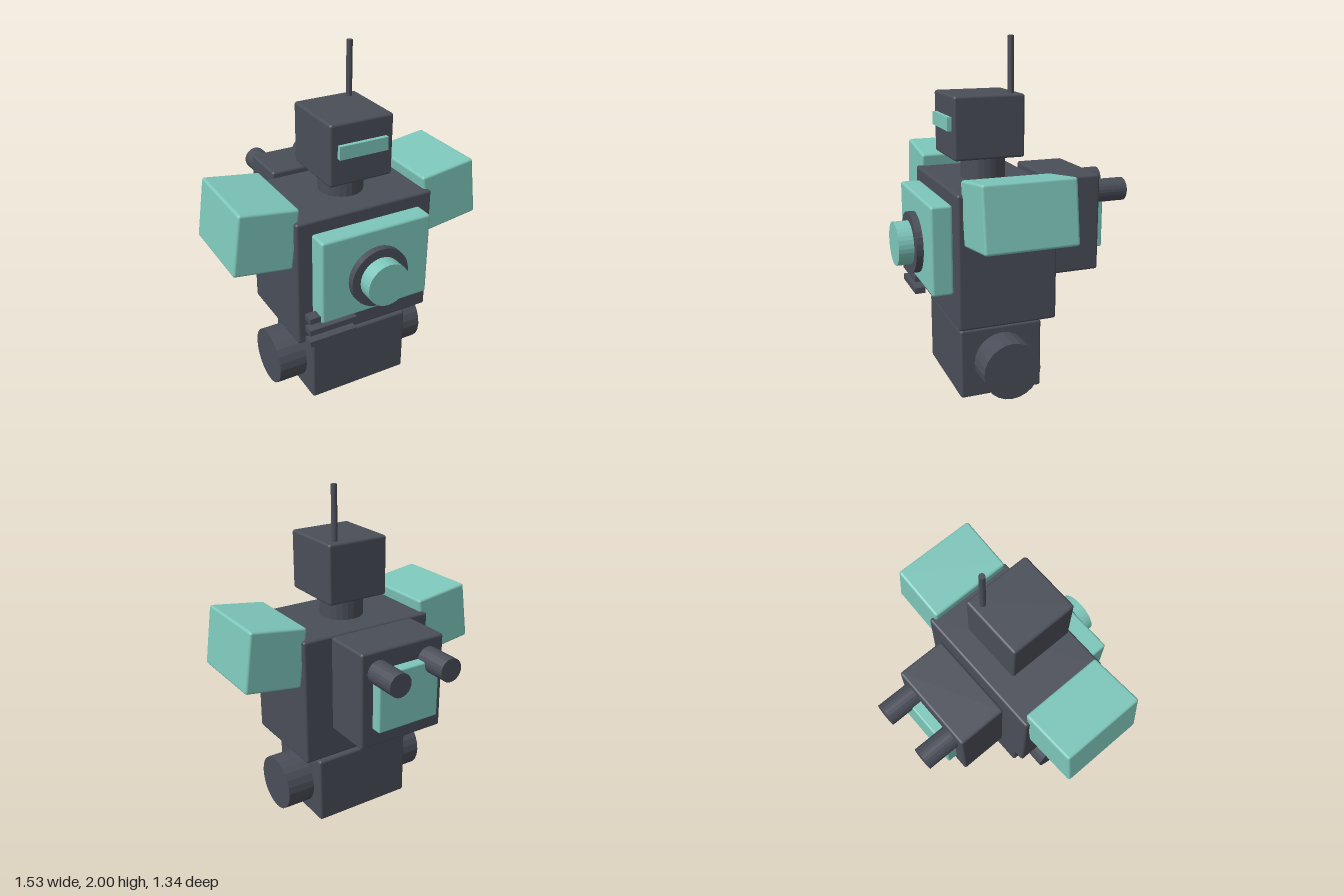
import * as THREE from 'three';
import { RoundedBoxGeometry } from 'three/addons/geometries/RoundedBoxGeometry.js';

export function createModel() {
  const model = new THREE.Group();
  model.name = 'robot';

  const dark = new THREE.MeshStandardMaterial({ color: 0x4a4e58 });
  dark.name = 'dark grey';
  const teal = new THREE.MeshStandardMaterial({ color: 0x7dc6ba });
  teal.name = 'teal';

  function add(name, geometry, material, x, y, z) {
    const mesh = new THREE.Mesh(geometry, material);
    mesh.name = name;
    mesh.position.set(x, y, z);
    model.add(mesh);
    return mesh;
  }

  // Box with softened edges, given by its limits on each axis
  function block(name, material, [x0, x1], [y0, y1], [z0, z1], radius = 0.015) {
    const size = [x1 - x0, y1 - y0, z1 - z0];
    const geometry = radius ? new RoundedBoxGeometry(...size, 2, radius) : new THREE.BoxGeometry(...size);
    return add(name, geometry, material, (x0 + x1) / 2, (y0 + y1) / 2, (z0 + z1) / 2);
  }

  // Faceted cylinder lying along the given axis
  function rod(name, material, axis, radius, length, x, y, z, sides = 24) {
    let geometry = new THREE.CylinderGeometry(radius, radius, length, sides);
    if (axis === 'x') geometry.rotateZ(Math.PI / 2);
    if (axis === 'z') geometry.rotateX(Math.PI / 2);
    geometry = geometry.toNonIndexed();
    geometry.computeVertexNormals();
    return add(name, geometry, material, x, y, z);
  }

  // Hips, waist and torso
  block('hips', dark, [-0.31, 0.31], [0, 0.41], [-0.1, 0.385]);
  block('waist', dark, [-0.185, 0.185], [0.39, 0.48], [-0.027, 0.31], 0);
  block('torso', dark, [-0.42, 0.42], [0.457, 1.212], [-0.142, 0.425]);

  // Chest plate with a round lamp
  block('chestPlate', teal, [-0.335, 0.335], [0.64, 1.14], [0.425, 0.545]);
  rod('lampRing', dark, 'z', 0.175, 0.045, 0, 0.86, 0.5625, 32);
  rod('lamp', teal, 'z', 0.125, 0.13, 0, 0.86, 0.605, 32);

  // Vent slats at the lower right of the chest
  for (let i = 0; i < 3; i++) {
    const y = 0.518 + i * 0.075;
    block('ventSlat', dark, [-0.398, -0.11], [y - 0.0175, y + 0.0175], [0.468, 0.53], 0);
  }

  // Head
  rod('neck', dark, 'y', 0.128, 0.17, 0, 1.275, 0.14);
  block('head', dark, [-0.19, 0.19], [1.34, 1.69], [-0.042, 0.365]);
  block('visor', teal, [-0.145, 0.145], [1.5, 1.575], [0.35, 0.39], 0);
  rod('antenna', dark, 'y', 0.017, 0.33, 0.12, 1.835, 0.016, 12);

  // Backpack
  block('backpack', dark, [-0.27, 0.27], [0.66, 1.225], [-0.472, -0.175]);
  block('backpackPlate', teal, [-0.197, 0.197], [0.77, 1.115], [-0.533, -0.46], 0.01);

  // Mirrored parts
  for (const side of [-1, 1]) {
    rod('hipAxle', dark, 'x', 0.165, 0.2, side * 0.38, 0.205, 0.14);
    rod('shoulderAxle', dark, 'x', 0.11, 0.155, side * 0.4775, 1.053, 0.14);
    const shoulder = add('shoulder', new RoundedBoxGeometry(0.34, 0.35, 0.51, 2, 0.015), teal, side * 0.572, 1.132, 0.14);
    shoulder.rotation.z = side * 0.14;
    rod('thruster', dark, 'z', 0.068, 0.22, side * 0.165, 1.105, -0.56);
  }

  return model;
}
